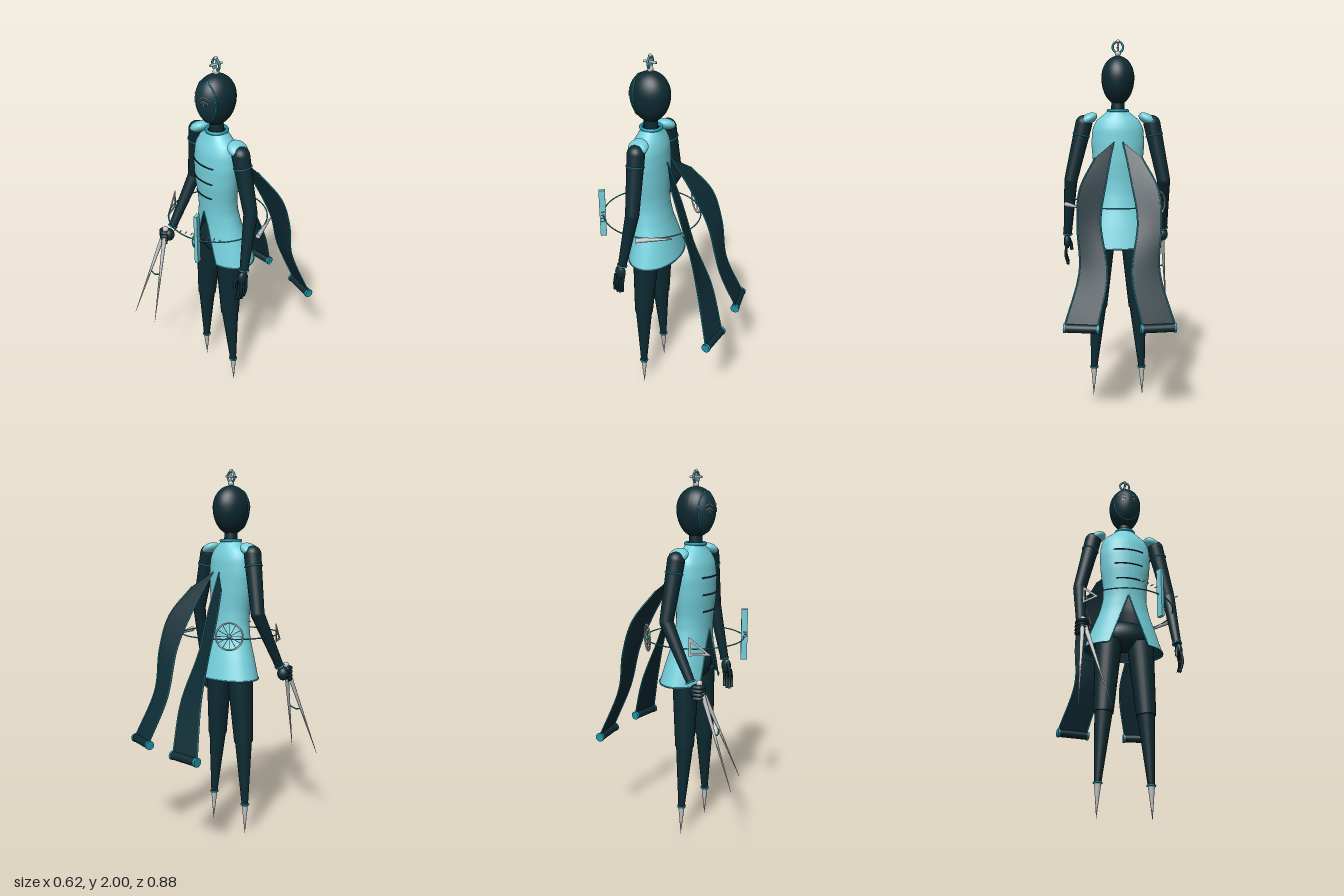
import * as THREE from 'three';

const mat = (name, color, side = THREE.FrontSide) => {
  const m = new THREE.MeshStandardMaterial({ color, side });
  m.name = name;
  return m;
};
const V = (x, y, z) => new THREE.Vector3(x, y, z);

export function createModel() {
  const root = new THREE.Group();
  const ink = mat('ink', 0x0c2a32);
  const banner = mat('bannerInk', 0x0e2d36, THREE.DoubleSide);
  const maskInk = mat('maskInk', 0x12343d);
  const cyan = mat('paleCyan', 0x74cfdb);
  const teal = mat('teal', 0x1e93a6);
  const steel = mat('steel', 0xc0c6c5);

  const add = (name, geo, m, pos, parent = root) => {
    const mesh = new THREE.Mesh(geo, m);
    mesh.name = name;
    if (pos) mesh.position.copy(pos);
    parent.add(mesh);
    return mesh;
  };
  // Tapered rod between two points
  const rod = (name, a, b, ra, rb, m, sides = 16) => {
    const mesh = add(name, new THREE.CylinderGeometry(rb, ra, a.distanceTo(b), sides), m, a.clone().lerp(b, 0.5));
    mesh.quaternion.setFromUnitVectors(V(0, 1, 0), b.clone().sub(a).normalize());
    return mesh;
  };
  const ball = (name, p, r, m, sx = 1, sy = 1, sz = 1) => {
    const mesh = add(name, new THREE.SphereGeometry(r, 24, 16), m, p);
    mesh.scale.set(sx, sy, sz);
    return mesh;
  };
  const tube = (name, pts, r, m, closed = false, tension = 0.5) =>
    add(name, new THREE.TubeGeometry(new THREE.CatmullRomCurve3(pts, closed, 'catmullrom', tension), 48, r, 6, closed), m);
  const cuff = (name, p, dir, r, t, m) => {
    const mesh = add(name, new THREE.TorusGeometry(r, t, 8, 28), m, p);
    mesh.quaternion.setFromUnitVectors(V(0, 0, 1), dir.clone().normalize());
    return mesh;
  };
  // Surface from a point rule; v runs down, u runs to the right
  const grid = (fn, nu, nv, flip = false) => {
    const pos = [], idx = [], w = nu + 1;
    for (let j = 0; j <= nv; j++) for (let i = 0; i <= nu; i++) pos.push(...fn(i / nu, j / nv).toArray());
    for (let j = 0; j < nv; j++) for (let i = 0; i < nu; i++) {
      const a = j * w + i, b = a + w, c = a + 1, d = b + 1;
      idx.push(...(flip ? [a, c, b, c, d, b] : [a, b, c, c, b, d]));
    }
    const g = new THREE.BufferGeometry();
    g.setAttribute('position', new THREE.Float32BufferAttribute(pos, 3));
    g.setIndex(idx);
    g.computeVertexNormals();
    return g;
  };

  // Coat: elliptical sections [y, half width, front z, back z] with a front slit
  const rows = [[1.63, 0.05, 0.1, 0.005], [1.605, 0.075, 0.108, -0.005], [1.575, 0.115, 0.125, -0.02],
    [1.53, 0.138, 0.145, -0.035], [1.45, 0.145, 0.155, -0.04], [1.35, 0.137, 0.155, -0.042], [1.25, 0.122, 0.145, -0.04],
    [1.18, 0.122, 0.14, -0.045], [1.1, 0.14, 0.14, -0.06], [1.0, 0.178, 0.15, -0.09], [0.89, 0.217, 0.16, -0.12]];
  const section = (y) => {
    let k = 0;
    while (k < rows.length - 2 && y < rows[k + 1][0]) k++;
    const t = (rows[k][0] - y) / (rows[k][0] - rows[k + 1][0]);
    return rows[k].map((v, i) => v + (rows[k + 1][i] - v) * t);
  };
  const coatPoint = (y, a, out = 0) => {
    const [, rx, zf, zb] = section(y);
    return V((rx + out) * Math.sin(a), y, (zf + zb) / 2 + ((zf - zb) / 2 + out) * Math.cos(a));
  };
  const gap = (y) => Math.asin(Math.min(0.9, Math.max(0, (1.18 - y) * 0.36) / section(y)[1]));
  const coat = (u, v) => {
    const y = 1.63 - 0.74 * v, g = gap(y);
    return coatPoint(y, g + u * (2 * Math.PI - 2 * g));
  };
  add('coat', grid(coat, 56, 40), cyan);
  add('coatLining', grid(coat, 56, 40, true), ink);
  const steps = [...Array(25).keys()].map((i) => i / 24);
  tube('coatHem', steps.map((u) => coat(u, 1)), 0.004, teal);
  for (const s of [1, -1])
    tube('slitTrim', steps.map((t) => { const y = 1.18 - 0.29 * t; return coatPoint(y, s * gap(y)); }), 0.004, teal);
  [[1.46, 0.62], [1.37, 0.6], [1.28, 0.55]].forEach(([y, w]) =>
    tube('chestBraid', steps.map((t) => coatPoint(y, w * (2 * t - 1), 0.001)), 0.004, ink));
  ball('pelvis', V(0, 0.97, 0.04), 0.1, ink, 1.45, 0.85, 0.85);
  cuff('collar', V(0, 1.625, 0.053), V(0, 1, 0), 0.052, 0.009, teal);
  rod('neck', V(0, 1.58, 0.053), V(0, 1.72, 0.055), 0.038, 0.034, ink);

  // Head: egg with a raised oval mask
  const head = new THREE.SphereGeometry(1, 40, 28);
  const hp = head.attributes.position;
  for (let i = 0; i < hp.count; i++)
    hp.setXYZ(i, hp.getX(i) * 0.089, hp.getY(i) * (hp.getY(i) > 0 ? 0.115 : 0.143), hp.getZ(i) * 0.105);
  head.computeVertexNormals();
  add('head', head, ink, V(0, 1.8, 0.055));
  const facePoint = (x, y, out = 0) => {
    const k = (y - 1.8) / (y > 1.8 ? 0.115 : 0.143);
    return V(x, y, 0.055 + 0.105 * Math.sqrt(Math.max(0, 1 - k * k - (x / 0.089) ** 2)) + out);
  };
  const oval = (a, r, out) => {
    const s = Math.sin(a);
    return facePoint(0.076 * r * Math.cos(a), 1.8 + r * s * (s > 0 ? 0.092 : 0.116), out);
  };
  add('faceMask', grid((u, v) => oval(u * Math.PI * 2, v, 0.003), 40, 12, false), maskInk);
  tube('maskRim', steps.slice(0, 24).map((t) => oval(t * Math.PI * 2, 1, 0.001)), 0.0035, teal, true);
  for (const s of [1, -1]) {
    const stroke = (name, pts) => tube(name, pts.map(([x, y]) => facePoint(s * x, y, 0.004)), 0.0025, steel);
    stroke('brow', [[0.016, 1.818], [0.035, 1.83], [0.056, 1.818]]);
    stroke('eye', [[0.018, 1.797], [0.036, 1.81], [0.055, 1.798]]);
    stroke('cheekMark', [[0.036, 1.806], [0.035, 1.786]]);
  }

  // Finial on the crown
  ball('finialBase', V(0, 1.925, 0.055), 0.016, steel);
  cuff('finialRing', V(0, 1.96, 0.055), V(0, 0, 1), 0.028, 0.006, teal);
  rod('finialBar', V(0, 1.96, 0.02), V(0, 1.96, 0.09), 0.006, 0.006, steel);
  rod('finialStem', V(0, 1.92, 0.055), V(0, 1.99, 0.055), 0.005, 0.005, steel);
  ball('finialTip', V(0, 1.99, 0.055), 0.01, steel);

  // Legs ending in steel points
  for (const s of [1, -1]) {
    const hip = V(s * 0.088, 0.93, 0.045), knee = V(s * 0.113, 0.53, 0.052), ankle = V(s * 0.136, 0.17, 0.045);
    rod('thigh', hip, knee, 0.073, 0.052, ink, 24);
    rod('shin', knee, ankle, 0.047, 0.018, ink, 24);
    cuff('ankleRing', ankle, V(0, 1, 0), 0.02, 0.005, teal);
    rod('footPoint', ankle, V(s * 0.14, 0, 0.042), 0.018, 0.0005, steel);
  }

  // Arms
  const arm = (s, elbow, wrist) => {
    const shoulder = V(s * 0.185, 1.555, 0.045);
    const dir = elbow.clone().sub(shoulder);
    const pad = ball('shoulderPad', V(s * 0.16, 1.58, 0.045), 0.052, cyan, 1, 0.55, 1);
    pad.rotation.z = -s * 0.5;
    ball('shoulder', shoulder, 0.046, ink);
    rod('upperArm', shoulder, elbow, 0.046, 0.036, ink, 24);
    cuff('armBand', shoulder.clone().addScaledVector(dir, 0.2), dir, 0.045, 0.004, teal);
    ball('elbow', elbow, 0.036, ink);
    rod('forearm', elbow, wrist, 0.036, 0.023, ink, 24);
    cuff('wristBand', wrist, wrist.clone().sub(elbow), 0.023, 0.005, teal);
  };
  arm(-1, V(-0.25, 1.25, 0.025), V(-0.264, 0.96, 0.175));
  arm(1, V(0.258, 1.25, 0.035), V(0.282, 0.94, 0.09));
  ball('gripHand', V(-0.262, 0.915, 0.205), 0.034, ink, 0.95, 1.1, 0.95);
  for (let i = 0; i < 4; i++) {
    const y = 0.945 - i * 0.02;
    tube('gripFinger', [V(-0.29, y, 0.205), V(-0.285, y, 0.238), V(-0.26, y, 0.25), V(-0.235, y, 0.23)], 0.011, ink);
  }
  ball('openPalm', V(0.286, 0.895, 0.1), 0.026, ink, 0.75, 1.6, 1.15);
  for (let i = 0; i < 4; i++) {
    const z = 0.08 + i * 0.016, tip = 0.755 + Math.abs(i - 1.5) * 0.01;
    tube('openFinger', [V(0.288, 0.88, z), V(0.294, 0.82, z + 0.006), V(0.282, tip, z + 0.012)], 0.0085, ink);
  }
  tube('openThumb', [V(0.28, 0.92, 0.11), V(0.266, 0.88, 0.13), V(0.262, 0.84, 0.14)], 0.009, ink);

  // Drawing dividers held in the right hand
  const pivot = V(-0.262, 0.96, 0.225);
  const tips = [V(-0.308, 0.43, 0.435), V(-0.146, 0.445, 0.402)];
  ball('dividerPivot', pivot, 0.017, steel);
  tips.forEach((t) => rod('dividerLeg', pivot, t, 0.014, 0.001, steel, 8));
  const [c0, c1] = tips.map((t) => pivot.clone().lerp(t, 0.48));
  tube('dividerArc', [c0, c0.clone().lerp(c1, 0.5).add(V(0, -0.012, 0.006)), c1], 0.004, teal);

  // Orbit ring carrying instruments
  cuff('orbitRing', V(0, 1.125, 0.05), V(0, 1, 0), 0.264, 0.0035, teal).geometry = new THREE.TorusGeometry(0.264, 0.0035, 8, 80);

  const wheel = new THREE.Group();
  wheel.name = 'spokedWheel';
  wheel.position.set(-0.2, 1.14, -0.125);
  wheel.rotation.y = Math.PI / 4;
  add('wheelRim', new THREE.TorusGeometry(0.07, 0.0045, 8, 40), steel, null, wheel);
  add('wheelHub', new THREE.SphereGeometry(0.012, 16, 10), teal, null, wheel);
  for (let i = 0; i < 6; i++)
    add('spoke', new THREE.CylinderGeometry(0.002, 0.002, 0.14, 6), steel, null, wheel).rotation.z = i * Math.PI / 6;
  root.add(wheel);

  rod('stylus', V(0.285, 1.12, 0.005), V(0.192, 1.12, -0.155), 0.014, 0.004, steel, 8);

  const tri = (a, b, h) => [new THREE.Vector2(a, a), new THREE.Vector2(b, a), new THREE.Vector2(a, h)];
  const triangle = new THREE.Shape(tri(0, 0.115, 0.1));
  triangle.holes.push(new THREE.Path(tri(0.012, 0.085, 0.073).reverse()));
  add('setSquare', new THREE.ExtrudeGeometry(triangle, { depth: 0.005, bevelEnabled: false }), steel,
    V(-0.25, 1.09, 0.155)).rotation.y = -0.97;

  const scale = new THREE.Group();
  scale.name = 'ruler';
  scale.position.set(0.137, 1.135, 0.28);
  scale.rotation.y = 0.52;
  add('rulerBlade', new THREE.BoxGeometry(0.018, 0.28, 0.034), cyan, null, scale);
  for (let i = -4; i <= 4; i++)
    if (i) add('rulerTick', new THREE.BoxGeometry(0.003, 0.005, 0.018), steel, V(i * 0.031, 0.022, 0), scale);
  root.add(scale);

  // Trailing scroll banners
  for (const s of [1, -1]) {
    const edge = (pts) => new THREE.CatmullRomCurve3(pts.map(([x, y, z]) => V(s * x, y, z)));
    const inner = edge([[0.025, 1.46, -0.05], [0.065, 1.26, -0.155], [0.095, 1.06, -0.24], [0.062, 0.8, -0.335], [0.112, 0.555, -0.425]]);
    const outer = edge([[0.125, 1.38, -0.115], [0.205, 1.22, -0.215], [0.215, 1.04, -0.275], [0.205, 0.82, -0.315], [0.28, 0.555, -0.4]]);
    add('banner', grid((u, v) => inner.getPoint(v).lerp(outer.getPoint(v), u), 4, 24), banner);
    for (const c of [inner, outer]) add('bannerTrim', new THREE.TubeGeometry(c, 40, 0.004, 6), teal);
    const a = V(s * 0.108, 0.545, -0.422), b = V(s * 0.278, 0.545, -0.4);
    rod('bannerRoll', a, b, 0.022, 0.022, ink, 20);
    const d = b.clone().sub(a).normalize().multiplyScalar(0.006);
    for (const p of [a, b]) rod('rollCap', p.clone().sub(d), p.clone().add(d), 0.0245, 0.0245, teal, 20);
  }
  return root;
}
